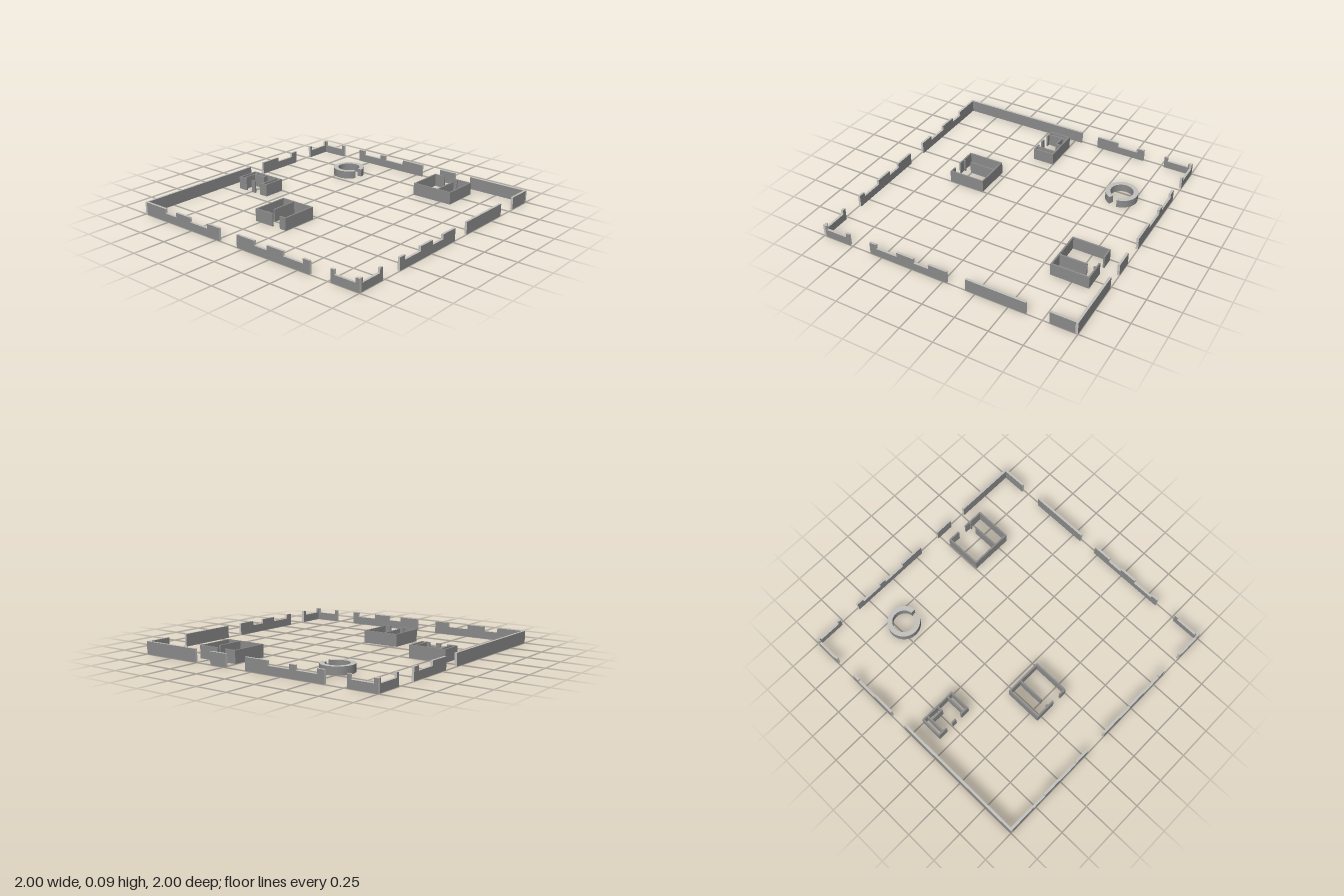
import * as THREE from 'three';

const HIGH = 0.095, LOW = 0.06, THICK = 0.018, THIN = 0.012;
const stone = new THREE.MeshStandardMaterial({ color: 0x8a8a8a, flatShading: true });
const coping = new THREE.MeshStandardMaterial({ color: 0xc2c1bd, flatShading: true });

// Wall run from a to b whose top drops to LOW over each notch [from, to]
function notchedWall(a, b, notches = []) {
  const shape = new THREE.Shape();
  shape.moveTo(a, 0);
  shape.lineTo(b, 0);
  shape.lineTo(b, HIGH);
  for (const [from, to] of [...notches].reverse()) {
    shape.lineTo(to, HIGH);
    shape.lineTo(to, LOW);
    shape.lineTo(from, LOW);
    shape.lineTo(from, HIGH);
  }
  shape.lineTo(a, HIGH);
  return new THREE.ExtrudeGeometry(shape, { depth: THICK, bevelEnabled: false })
    .translate(0, 0, -THICK / 2);
}

// Outer wall: list of [start, end, notches]; alongZ turns the run onto the z axis.
// Broad faces are dark stone, tops and ends are pale.
function outerWall(name, runs, alongZ, offset) {
  const group = new THREE.Group();
  group.name = name;
  for (const [a, b, notches] of runs) {
    const geometry = notchedWall(a, b, notches);
    if (alongZ) geometry.rotateY(-Math.PI / 2).translate(offset, 0, 0);
    else geometry.translate(0, 0, offset);
    const mesh = new THREE.Mesh(geometry, [stone, coping]);
    mesh.name = name + 'Section';
    group.add(mesh);
  }
  return group;
}

// House: thin walls given as plan rectangles [x0, x1, z0, z1]
function house(name, rects) {
  const group = new THREE.Group();
  group.name = name;
  for (const [x0, x1, z0, z1] of rects) {
    const geometry = new THREE.BoxGeometry(x1 - x0, HIGH, z1 - z0);
    geometry.translate((x0 + x1) / 2, HIGH / 2, (z0 + z1) / 2);
    const mesh = new THREE.Mesh(geometry, stone);
    mesh.name = 'houseWall';
    group.add(mesh);
  }
  return group;
}

// Plan rectangles of a wall along x (z0 is its back face) or along z (x0 is its right face)
const alongX = (x0, x1, z0) => [x0, x1, z0, z0 + THIN];
const alongZ = (z0, z1, x0) => [x0, x0 + THIN, z0, z1];

// Low round wall with a doorway, laid as two courses with pale tops
function roundWall() {
  const group = new THREE.Group();
  group.name = 'roundWall';
  const start = THREE.MathUtils.degToRad(5), end = THREE.MathUtils.degToRad(336);
  for (const [inside, outside] of [[0.086, 0.104], [0.104, 0.122]]) {
    const shape = new THREE.Shape();
    shape.absarc(0, 0, outside, start, end, false);
    shape.absarc(0, 0, inside, end, start, true);
    const geometry = new THREE.ExtrudeGeometry(shape, { depth: LOW, bevelEnabled: false, curveSegments: 32 });
    geometry.rotateX(-Math.PI / 2).translate(-0.445, 0, -0.652);
    const mesh = new THREE.Mesh(geometry, [coping, stone]);
    mesh.name = 'roundWallCourse';
    group.add(mesh);
  }
  return group;
}

export function createModel() {
  const model = new THREE.Group();
  model.name = 'walledVillage';
  const edge = 1 - THICK / 2, inner = 1 - THICK;

  // Perimeter
  model.add(
    outerWall('frontWall', [
      [-inner, -0.22, [[-0.775, -0.66], [-0.515, -0.34]]],
      [-0.05, 0.6, [[0.115, 0.23], [0.372, 0.545]]],
      [0.772, 1, [[0.8, 0.97]]],
    ], false, edge),
    outerWall('backWall', [
      [-1, -0.772, [[-0.97, -0.797]]],
      [-0.6, 0.055, [[-0.545, -0.373], [-0.32, -0.14]]],
      [0.23, 0.372],
      [0.513, 1],
    ], false, -edge),
    outerWall('leftWall', [
      [-inner, -0.8],
      [-0.63, -0.175],
      [-0.03, 0.597, [[0.115, 0.235], [0.372, 0.543]]],
      [0.772, inner, [[0.8, 0.97]]],
    ], true, edge),
    outerWall('rightWall', [
      [-inner, -0.775, [[-0.97, -0.8]]],
      [-0.6, -0.2, [[-0.545, -0.375]]],
      [-0.058, 1],
    ], true, -edge),
  );

  // Back house: doorway in its back wall, one partition
  model.add(house('backHouse', [
    alongX(0.255, 0.35, -0.878), alongX(0.42, 0.588, -0.878),
    alongX(0.255, 0.588, -0.6),
    alongZ(-0.866, -0.6, 0.255), alongZ(-0.866, -0.6, 0.576),
    alongZ(-0.866, -0.853, 0.463), alongZ(-0.805, -0.6, 0.463),
  ]));

  // Front house: doorway in its front wall, one partition
  model.add(house('frontHouse', [
    alongX(-0.292, 0, 0.292),
    alongX(-0.292, -0.127, 0.567), alongX(-0.057, 0, 0.567),
    alongZ(0.304, 0.567, -0.292), alongZ(0.304, 0.567, -0.012),
    alongZ(0.304, 0.507, -0.185), alongZ(0.555, 0.567, -0.185),
  ]));

  // Side house: two doorways in front, narrow rooms at both ends and a closet
  model.add(house('sideHouse', [
    alongX(-0.877, -0.585, 0),
    alongX(-0.877, -0.8, 0.16), alongX(-0.745, -0.708, 0.16), alongX(-0.657, -0.585, 0.16),
    ...[-0.877, -0.838, -0.637, -0.597].map((x) => alongZ(0.012, 0.16, x)),
    alongX(-0.826, -0.727, 0.042), alongZ(0.012, 0.042, -0.739),
  ]));

  model.add(roundWall());
  return model;
}
